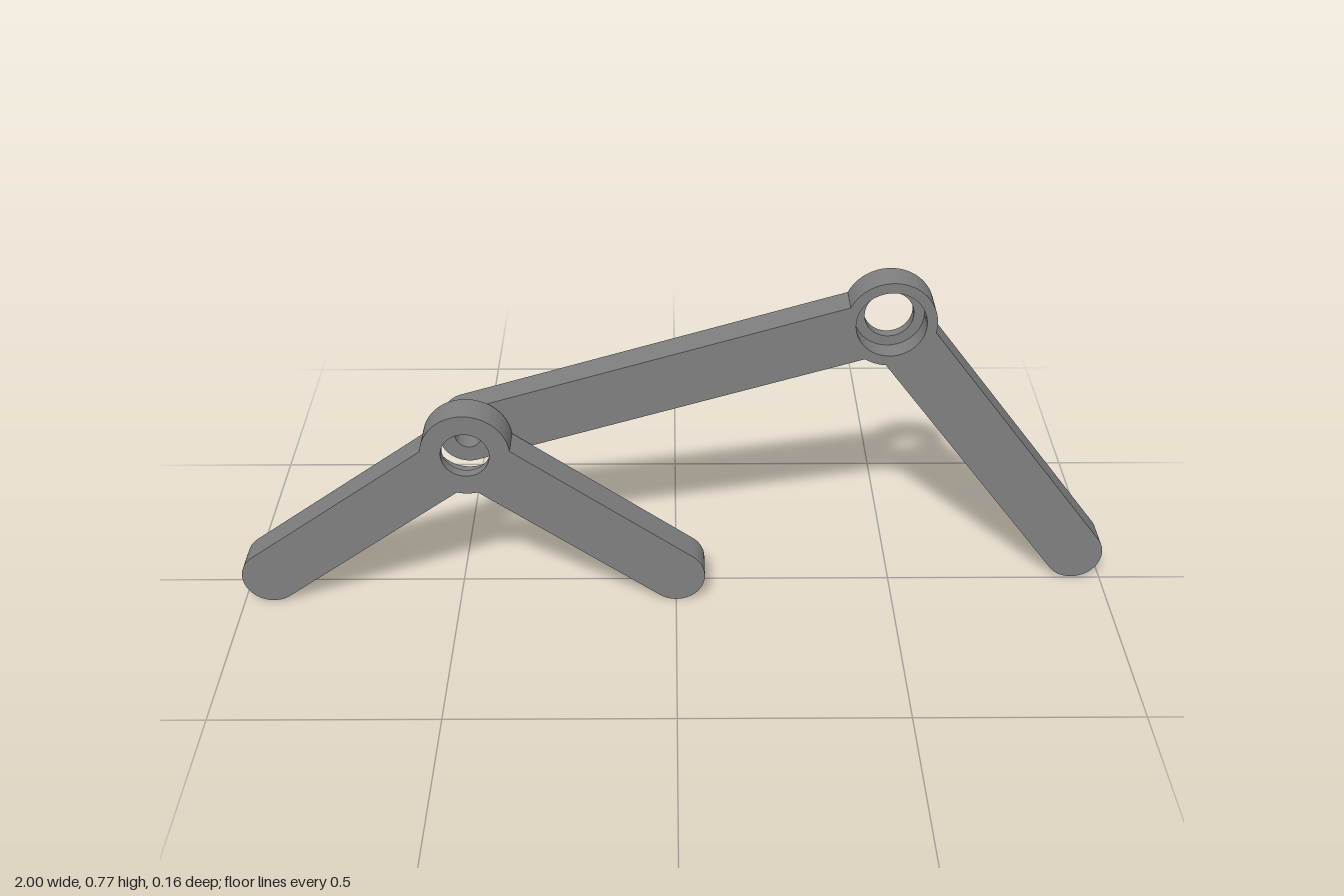
import * as THREE from 'three';
import { toCreasedNormals } from 'three/addons/utils/BufferGeometryUtils.js';

const ARM_R = 0.066, HUB_R = 0.1, POCKET_R = 0.077, BORE_R = 0.054, BOLT_R = 0.03, HEX_R = 0.047;

// Bent link outline: round hub with two round-ended arms (ends given counter-clockwise)
function outline(hub, ends) {
  const shape = new THREE.Shape();
  const spread = Math.asin(ARM_R / HUB_R);
  const angles = ends.map(([x, y]) => Math.atan2(y - hub[1], x - hub[0]));
  ends.forEach(([x, y], i) => {
    const a = angles[i];
    let next = angles[(i + 1) % ends.length];
    if (next < a) next += Math.PI * 2;
    shape.absarc(x, y, ARM_R, a - Math.PI / 2, a + Math.PI / 2, false);
    shape.absarc(hub[0], hub[1], HUB_R, a + spread, next - spread, false);
  });
  return shape;
}

function circle([x, y], r) {
  return new THREE.Path().absarc(x, y, r, 0, Math.PI * 2, true);
}

function hexagon([x, y], r) {
  const pts = [];
  for (let i = 0; i < 6; i++) {
    const a = Math.PI / 2 - i * Math.PI / 3;
    pts.push(new THREE.Vector2(x + r * Math.cos(a), y + r * Math.sin(a)));
  }
  return new THREE.Path(pts);
}

// A link is a stack of slices, so that holes can change size through its depth
function makeLink(name, hub, ends, slices, material) {
  const link = new THREE.Group();
  link.name = name;
  for (const { part, z0, z1, holes } of slices) {
    const shape = outline(hub, ends);
    shape.holes.push(...holes);
    const geo = new THREE.ExtrudeGeometry(shape, { depth: z1 - z0, bevelEnabled: false, curveSegments: 32 });
    geo.translate(0, 0, z0);
    const mesh = new THREE.Mesh(toCreasedNormals(geo, 0.5), material);
    mesh.name = part;
    link.add(mesh);
  }
  return link;
}

export function createModel() {
  const model = new THREE.Group();
  model.name = 'hingedStand';
  const grey = new THREE.MeshStandardMaterial({ color: 0x808080 });
  grey.name = 'grey';

  const pivot = [-0.467, 0.396], elbow = [0.467, 0.675];

  // Front link: bearing pocket opens to the back
  model.add(makeLink('frontLink', pivot, [[0, 0.066], [-0.934, 0.066]], [
    { part: 'frontLinkLip', z0: 0.055, z1: 0.08, holes: [circle(pivot, BORE_R)] },
    { part: 'frontLinkPocket', z0: 0.004, z1: 0.055, holes: [circle(pivot, POCKET_R)] },
  ], grey));

  // Rear link: bearing pocket opens to the front, hexagonal nut recess to the back
  model.add(makeLink('rearLink', elbow, [[0.934, 0.066], pivot].sort((a, b) => a[1] - b[1]), [
    { part: 'rearLinkPocket', z0: -0.054, z1: -0.004, holes: [circle(elbow, POCKET_R), circle(pivot, BOLT_R)] },
    { part: 'rearLinkLip', z0: -0.079, z1: -0.054, holes: [circle(elbow, BORE_R), hexagon(pivot, HEX_R)] },
  ], grey));

  return model;
}
